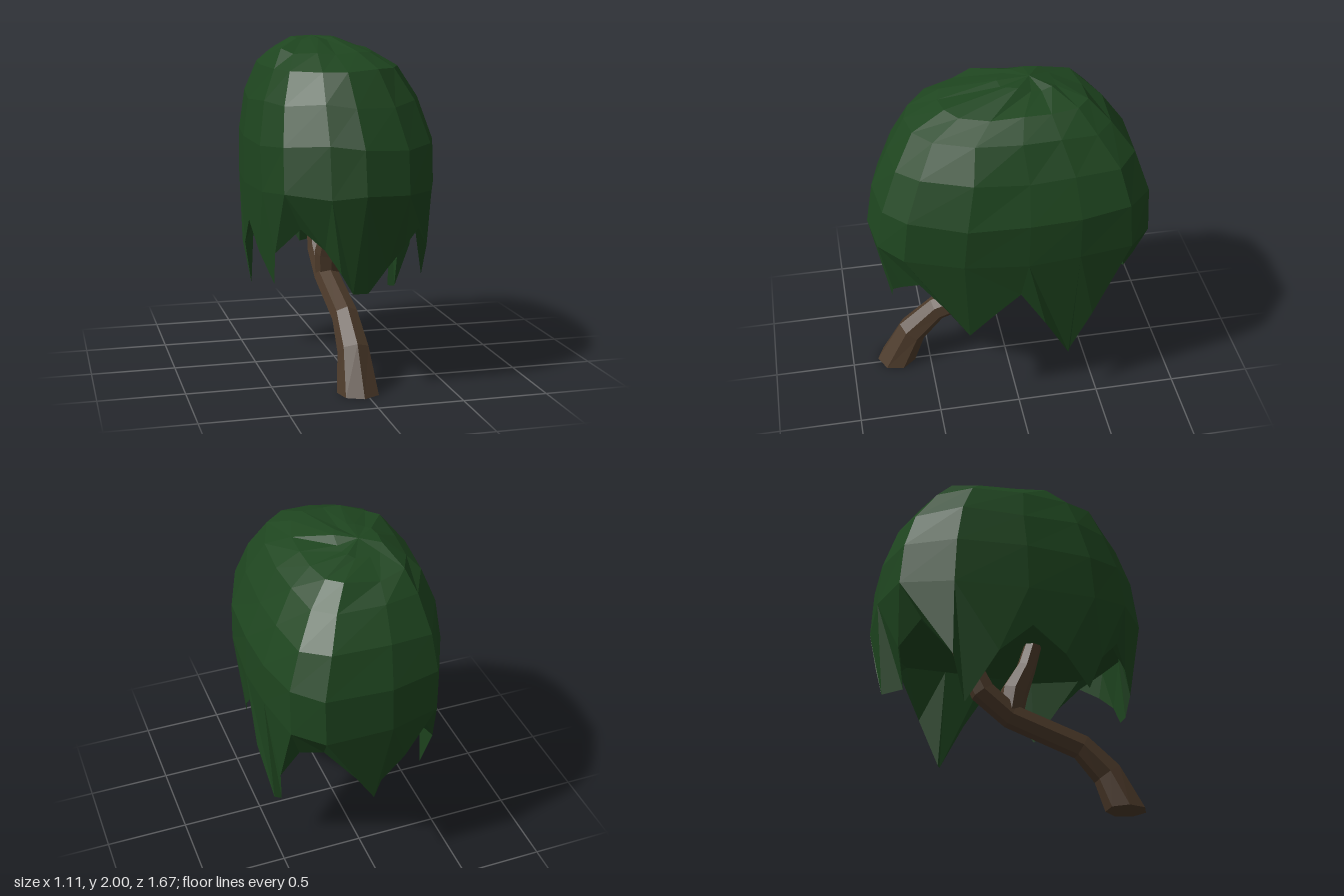
import * as THREE from 'three';

const leaves = new THREE.MeshStandardMaterial({ color: 0x1e451f });
leaves.name = 'dark green leaves';
const bark = new THREE.MeshStandardMaterial({ color: 0x4c3a2a });
bark.name = 'brown bark';

// Seeded noise in -1..1
let seed = 7;
const noise = () => {
  seed = (seed * 16807) % 2147483647;
  return (seed / 2147483647) * 2 - 1;
};

// Faceted mesh from a list of triangle corners
function facetMesh(name, corners, material) {
  const geometry = new THREE.BufferGeometry().setFromPoints(corners);
  geometry.computeVertexNormals();
  const mesh = new THREE.Mesh(geometry, material);
  mesh.name = name;
  return mesh;
}

// Joins two equal loops that run counter-clockwise, a below b
function bridge(out, a, b) {
  a.forEach((p, i) => {
    const j = (i + 1) % a.length;
    out.push(p, a[j], b[j], p, b[j], b[i]);
  });
}

// Closes a loop with a fan to one point
function fan(out, loop, tip) {
  loop.forEach((p, i) => out.push(p, loop[(i + 1) % loop.length], tip));
}

// Seven-sided limb through stations [x, y, z, radius]
function limb(name, stations, levelBase) {
  const centres = stations.map(s => new THREE.Vector3(s[0], s[1], s[2]));
  const side = new THREE.Vector3(1, 0, 0);
  const loops = stations.map((s, k) => {
    const dir = new THREE.Vector3().subVectors(
      centres[Math.min(k + 1, centres.length - 1)], centres[Math.max(k - 1, 0)]).normalize();
    if (k === 0 && levelBase) dir.set(0, 1, 0);
    const up = new THREE.Vector3().crossVectors(dir, side).normalize();
    return Array.from({ length: 7 }, (_, i) => {
      const t = (i / 7) * Math.PI * 2 + 0.25;
      return centres[k].clone()
        .addScaledVector(side, Math.cos(t) * s[3])
        .addScaledVector(up, Math.sin(t) * s[3]);
    });
  });
  const out = [];
  for (let k = 0; k + 1 < loops.length; k++) bridge(out, loops[k], loops[k + 1]);
  fan(out, [...loops[0]].reverse(), centres[0]);
  fan(out, loops[loops.length - 1], centres[centres.length - 1]);
  return facetMesh(name, out, bark);
}

// Ragged hem of the canopy, [x, y, z], from the front round the left side
const hem = [
  [0.02, 0.58, 0.72], [0.13, 0.72, 0.72], [0.25, 0.83, 0.67], [0.37, 0.93, 0.58], [0.46, 0.78, 0.43],
  [0.47, 0.57, 0.30], [0.51, 0.75, 0.15], [0.53, 0.90, 0.0], [0.54, 0.66, -0.15], [0.49, 0.35, -0.31],
  [0.45, 0.35, -0.33], [0.49, 0.65, -0.45], [0.42, 0.93, -0.60], [0.30, 0.96, -0.68], [0.14, 0.80, -0.79],
  [0.02, 0.60, -0.77], [-0.07, 0.61, -0.66], [-0.19, 0.82, -0.72], [-0.36, 0.94, -0.62], [-0.49, 0.68, -0.46],
  [-0.45, 0.41, -0.38], [-0.52, 0.72, -0.20], [-0.53, 0.90, 0.0], [-0.51, 0.75, 0.20], [-0.45, 0.58, 0.36],
  [-0.46, 0.78, 0.44], [-0.34, 0.94, 0.58], [-0.22, 0.83, 0.67], [-0.14, 0.70, 0.73], [-0.07, 0.58, 0.72],
].map(p => new THREE.Vector3(...p));

// Widest outline of the canopy, [x, z], one point for every second hem point
const outline = [
  [-0.02, 0.84], [0.24, 0.80], [0.41, 0.66], [0.53, 0.33], [0.555, -0.04],
  [0.545, -0.35], [0.49, -0.66], [0.33, -0.81], [-0.06, -0.83], [-0.36, -0.75],
  [-0.51, -0.46], [-0.555, -0.03], [-0.525, 0.38], [-0.44, 0.60], [-0.21, 0.78],
];

// Outline scaled and shifted at one height
function ring([y, sx, sz, cx, cz], wobble) {
  return outline.map(([x, z]) => new THREE.Vector3(
    cx + x * sx * (1 + noise() * wobble),
    y + noise() * wobble * 1.5,
    cz + z * sz * (1 + noise() * wobble)));
}

// Strip from the hem up to a ring with half as many points
function skirt(out, loop) {
  loop.forEach((r, k) => {
    const next = loop[(k + 1) % loop.length];
    const a = hem[2 * k], b = hem[2 * k + 1], c = hem[(2 * k + 2) % hem.length];
    out.push(a, b, r, b, c, next, b, next, r);
  });
}

function shell(rings, top, wobble) {
  const loops = rings.map(r => ring(r, wobble));
  const out = [];
  skirt(out, loops[0]);
  for (let k = 0; k + 1 < loops.length; k++) bridge(out, loops[k], loops[k + 1]);
  fan(out, loops[loops.length - 1], new THREE.Vector3(...top));
  return out;
}

export function createModel() {
  const model = new THREE.Group();
  model.name = 'weepingTree';

  // Leaning trunk and its fork
  model.add(limb('trunk', [
    [-0.035, 0, 0.715, 0.125], [-0.035, 0.22, 0.605, 0.095], [-0.04, 0.375, 0.44, 0.08],
    [-0.045, 0.525, 0.0, 0.077], [-0.045, 0.66, -0.17, 0.08], [-0.04, 1.08, -0.38, 0.055],
  ], true));
  model.add(limb('forkBranch', [
    [-0.04, 0.52, 0.0, 0.075], [-0.04, 0.68, 0.025, 0.085], [-0.04, 0.85, 0.1, 0.06], [-0.04, 1.1, 0.17, 0.05],
  ], false));

  // Outer canopy: [height, width scale, depth scale, shift x, shift z]
  model.add(facetMesh('canopy', shell([
    [1.14, 0.995, 1.0, 0, 0],
    [1.41, 0.995, 0.965, 0, -0.01],
    [1.64, 0.88, 0.855, -0.025, -0.025],
    [1.82, 0.71, 0.71, -0.05, -0.01],
    [1.92, 0.53, 0.51, -0.075, -0.05],
    [1.98, 0.22, 0.2, -0.1, -0.14],
  ], [-0.1, 2, -0.16], 0.012), leaves));

  // Nearly flat ceiling under the canopy, facing down and inward
  const inside = shell([[0.97, 0.82, 0.84, 0, 0]], [0, 1.01, 0], 0.01);
  model.add(facetMesh('canopyInside', inside.reverse(), leaves));

  return model;
}
